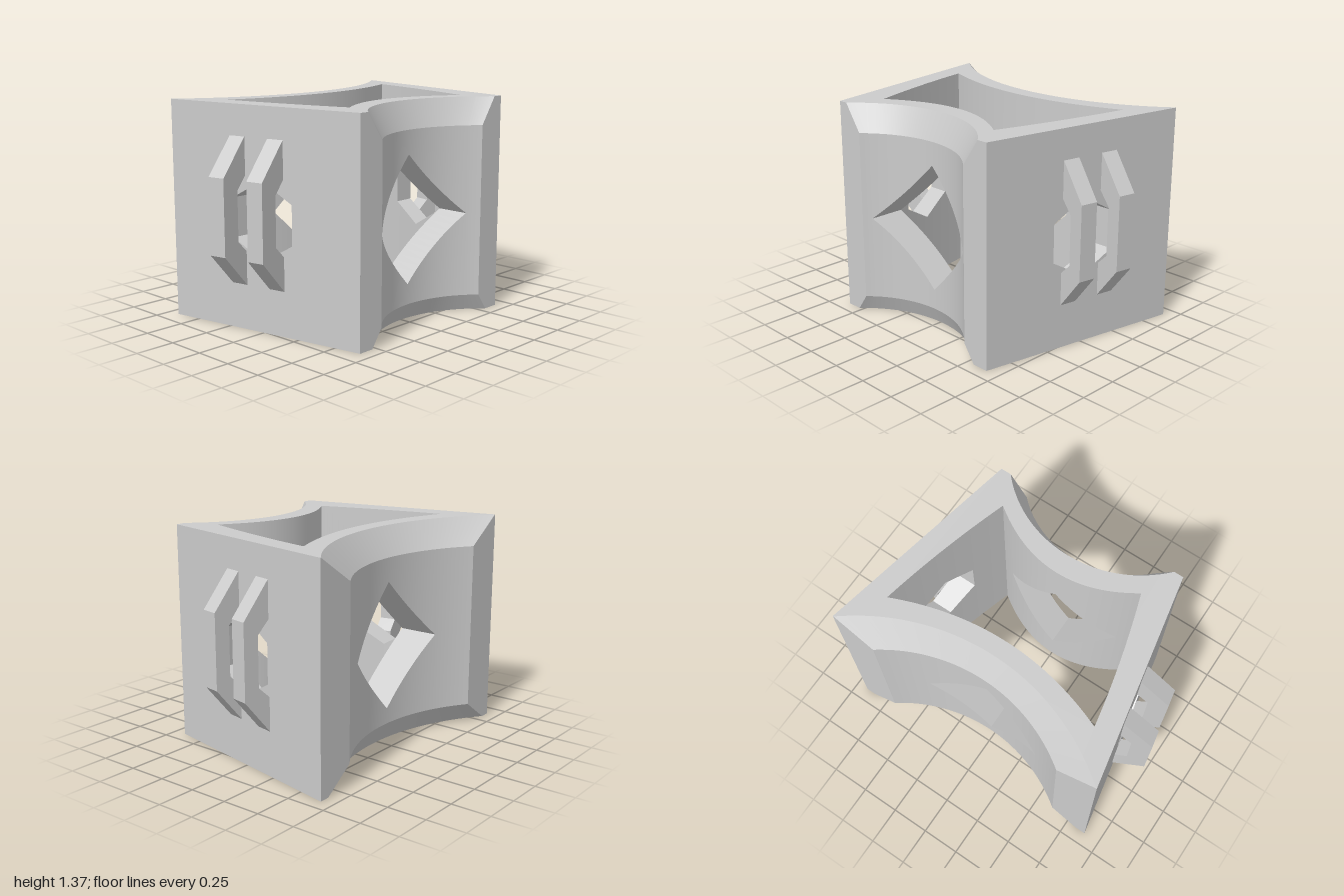
import * as THREE from 'three';
import { toCreasedNormals } from 'three/addons/utils/BufferGeometryUtils.js';

const H = 1.37, X = 0.67;
const material = new THREE.MeshStandardMaterial({ color: 0xcccccc });

// windows: half width w, centre height c, half height h(u)
const diamond = { w: 0.405, c: 0.645, h: u => 0.405 - Math.abs(u) };
const hexagon = { w: 0.212, c: 0.685, h: u => 0.245 - Math.abs(u) / Math.sqrt(3) };

// plan of the block: slanted ends, and the hollow inside
const frontZ = x => 0.76 - 0.194 * x;
const backZ = x => -0.79 + 0.194 * x;
const innerRight = z => 0.28 + 0.72 * z * z;
const innerLeft = z => -0.24 - 0.3 * z * z;
const innerEnd = (z0, z1, bow) => {
  const x0 = innerLeft(z0), x1 = innerRight(z1);
  return x => {
    const t = (x - x0) / (x1 - x0);
    return z0 + (z1 - z0) * t + bow * 4 * t * (1 - t);
  };
};
const innerFront = innerEnd(0.69, 0.48, 0.015);
const innerBack = innerEnd(-0.73, -0.51, -0.015);

// samples from a to b that include the window's edges and middle
function samples(a, b, w, n = 12) {
  const d = Math.sign(b - a), stops = [a, -w * d, 0, w * d, b], out = [a];
  for (let i = 0; i < 4; i++)
    for (let k = 1; k <= n; k++) out.push(stops[i] + (stops[i + 1] - stops[i]) * k / n);
  return out;
}

function quad(out, a, b, c, d) {
  for (const p of [a, b, c, a, c, d]) out.push(p[0], p[1], p[2]);
}
const at = (p, y) => [p[0], y, p[1]];

// upright wall along a plan curve, with a window left open
function wall(out, us, curve, y0, y1, hole) {
  for (let i = 0; i < us.length - 1; i++) {
    const u = us[i], v = us[i + 1], p = curve(u), q = curve(v);
    if (Math.abs((u + v) / 2) < hole.w) {
      const a = hole.h(u), b = hole.h(v);
      quad(out, at(p, y0), at(q, y0), at(q, hole.c - b), at(p, hole.c - a));
      quad(out, at(p, hole.c + a), at(q, hole.c + b), at(q, y1), at(p, y1));
    } else quad(out, at(p, y0), at(q, y0), at(q, y1), at(p, y1));
  }
}

// lining of a window, from the outer curve to the inner one
function lining(out, us, outer, inner, hole) {
  for (let i = 0; i < us.length - 1; i++) {
    const u = us[i], v = us[i + 1];
    if (Math.abs((u + v) / 2) > hole.w) continue;
    const a = hole.h(u), b = hole.h(v), c = hole.c;
    quad(out, at(outer(u), c - a), at(outer(v), c - b), at(inner(v), c - b), at(inner(u), c - a));
    quad(out, at(inner(u), c + a), at(inner(v), c + b), at(outer(v), c + b), at(outer(u), c + a));
  }
  const e = hole.h(hole.w);
  if (e < 0.01) return;
  const d = Math.sign(us[1] - us[0]);
  for (const k of [-1, 1]) {
    const o = outer(k * d * hole.w), n = inner(k * d * hole.w);
    const [f, g] = k < 0 ? [o, n] : [n, o];
    quad(out, at(f, hole.c - e), at(g, hole.c - e), at(g, hole.c + e), at(f, hole.c + e));
  }
}

function mesh(name, out, crease = 0.3) {
  const g = new THREE.BufferGeometry();
  g.setAttribute('position', new THREE.Float32BufferAttribute(out, 3));
  const m = new THREE.Mesh(toCreasedNormals(g, crease), material);
  m.name = name;
  return m;
}

// scooped side: flat lands, a concave arc, flared at top and bottom
function scoopedSide(group, o) {
  const { s, zc, ends } = o;
  const arc = ([half, depth]) => {
    const r = (half * half + depth * depth) / (2 * depth);
    return z => [s * (X - Math.sqrt(r * r - (z - zc) ** 2) + r - depth), z];
  };
  const us = samples(zc + s * o.mid[0], zc - s * o.mid[0], diamond.w);
  const section = lv => [[s * X, ends[0]],
    ...us.map(u => arc(lv)(zc + (u - zc) * lv[0] / o.mid[0])), [s * X, ends[1]]];
  const rings = [[0, o.bottom], [o.low, o.mid], [H - 0.17, o.mid], [H, o.top]]
    .map(([y, lv]) => section(lv).map(p => at(p, y)));
  const out = [], n = rings[0].length - 1;
  for (let j = 0; j < 3; j++)
    for (let i = 0; i < n; i++) {
      if (j === 1 && i > 0 && i < n - 1) continue;
      quad(out, rings[j][i], rings[j][i + 1], rings[j + 1][i + 1], rings[j + 1][i]);
    }
  wall(out, us, arc(o.mid), o.low, H - 0.17, diamond);
  const inner = z => [s > 0 ? innerRight(z) : innerLeft(z), z];
  lining(out, us, arc(o.mid), inner, diamond);
  const inUs = samples(...o.inner, diamond.w);
  wall(out, [...inUs].reverse(), inner, 0, H, diamond);
  group.add(mesh(o.name, out));
  return { top: section(o.top), bottom: section(o.bottom), inner: inUs.map(inner) };
}

// flat slanted end with a hexagonal window
function slantedEnd(group, name, d, outerZ, innerZ, x0, x1) {
  const outer = x => [x, outerZ(x)], inner = x => [x, innerZ(x)], out = [];
  const us = samples(-d * X, d * X, hexagon.w), inUs = samples(x0, x1, hexagon.w);
  wall(out, us, outer, 0, H, hexagon);
  lining(out, us, outer, inner, hexagon);
  wall(out, [...inUs].reverse(), inner, 0, H, hexagon);
  group.add(mesh(name, out));
  return inUs.map(inner);
}

// flat rim around the hollow, facing up (k = 1) or down (k = -1)
function rim(name, outer, hole, y, k) {
  const pts = a => a.map(p => new THREE.Vector2(p[0], -k * p[1]));
  const shape = new THREE.Shape(pts(outer));
  shape.holes.push(new THREE.Path(pts(hole)));
  const g = new THREE.ShapeGeometry(shape).rotateX(-k * Math.PI / 2).translate(0, y, 0);
  const m = new THREE.Mesh(g, material);
  m.name = name;
  return m;
}

// bracket-shaped handle standing square to a slanted end
function handle(name, x, z, d, k) {
  const profile = [[0, 0.28], [d, 0.49], [d, 0.96], [0, 1.18],
    [0, 0.95], [0.075, 0.87], [0.075, 0.56], [0, 0.49]];
  const shape = new THREE.Shape(profile.map(p => new THREE.Vector2(...p)));
  const g = new THREE.ExtrudeGeometry(shape, { depth: 0.11, bevelEnabled: false });
  const m = new THREE.Mesh(g.translate(0, 0, -0.055), material);
  m.position.set(x, 0, z);
  m.rotation.y = -k * Math.atan2(1, 0.194);
  m.name = name;
  return m;
}

export function createModel() {
  const group = new THREE.Group();
  group.name = 'hollowBlock';

  const left = scoopedSide(group, {
    name: 'shallowScoopSide', s: 1, zc: -0.0125, ends: [0.63, -0.66], low: 0.11,
    mid: [0.4625, 0.19], top: [0.58, 0.26], bottom: [0.54, 0.24], inner: [0.48, -0.51],
  });
  const right = scoopedSide(group, {
    name: 'wideScoopSide', s: -1, zc: -0.015, ends: [-0.92, 0.89], low: 0.14,
    mid: [0.645, 0.21], top: [0.9, 0.32], bottom: [0.84, 0.285], inner: [-0.73, 0.69],
  });
  const front = slantedEnd(group, 'frontWall', 1, frontZ, innerFront, innerLeft(0.69), innerRight(0.48));
  const back = slantedEnd(group, 'backWall', -1, backZ, innerBack, innerRight(-0.51), innerLeft(-0.73));

  // rims share the loop of the hollow
  const hollow = [front, left.inner, back, right.inner].flatMap(a => a.slice(0, -1));
  group.add(rim('topRim', [...left.top, ...right.top], hollow, H, 1));
  group.add(rim('bottomRim', [...left.bottom, ...right.bottom], hollow, 0, -1));

  for (const x of [-0.172, 0.1]) {
    group.add(handle('frontHandle', x, frontZ(x), 0.2, 1));
    group.add(handle('backHandle', x, backZ(x), 0.172, -1));
  }
  return group;
}
